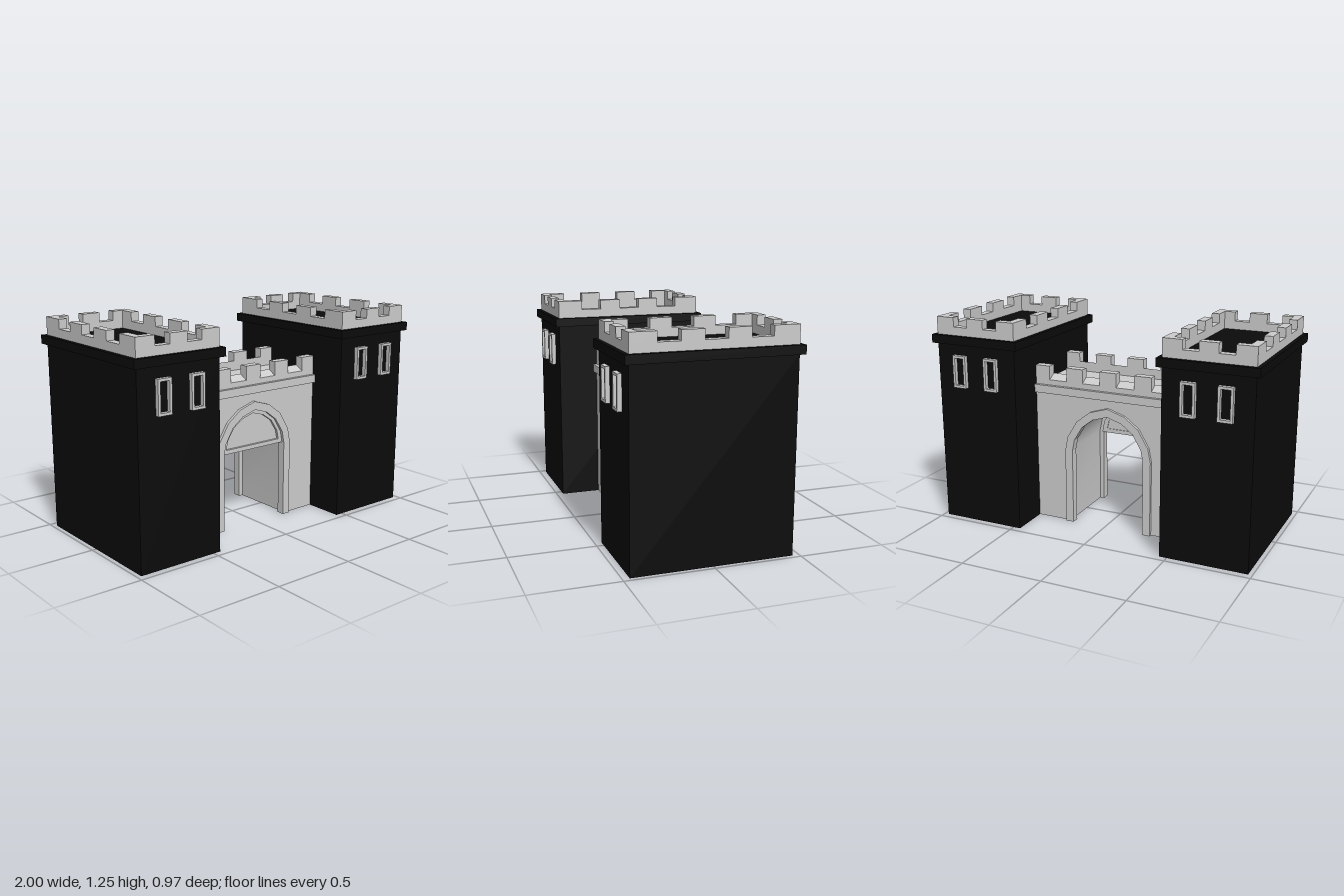
import * as THREE from 'three';
import { toCreasedNormals } from 'three/addons/utils/BufferGeometryUtils.js';

const stone = new THREE.MeshStandardMaterial({ color: 0xcccccc });
const dark = new THREE.MeshStandardMaterial({ color: 0x0b0b0b });

function add(parent, name, geometry, material = stone) {
  const mesh = new THREE.Mesh(geometry, material);
  mesh.name = name;
  parent.add(mesh);
  return mesh;
}

// Box given by its limits on each axis
function box(parent, name, [x0, x1], [y0, y1], [z0, z1], material) {
  const mesh = add(parent, name, new THREE.BoxGeometry(x1 - x0, y1 - y0, z1 - z0), material);
  mesh.position.set((x0 + x1) / 2, (y0 + y1) / 2, (z0 + z1) / 2);
  return mesh;
}

function extrude(shape, z0, z1) {
  return new THREE.ExtrudeGeometry(shape, { depth: z1 - z0, bevelEnabled: false }).translate(0, 0, z0);
}

const rect = (w, h) => [[-w, -h], [w, -h], [w, h], [-w, h]].map(([x, y]) => new THREE.Vector2(x, y));

function frameShape(w, h, t) {
  const shape = new THREE.Shape(rect(w, h));
  shape.holes.push(new THREE.Path(rect(w - t, h - t)));
  return shape;
}

// Pointed arch outline, right foot over the apex to the left foot
const ARCH = [[1, 0], [0.94, 0.29], [0.71, 0.655], [0.4, 0.88], [0, 1]];
function arch(w, h, spring, foot = spring) {
  const right = ARCH.map(([x, y]) => new THREE.Vector2(x * w, spring + y * h));
  const left = right.slice(0, -1).reverse().map((p) => new THREE.Vector2(-p.x, p.y));
  const points = [...right, ...left];
  if (foot < spring) {
    points.unshift(new THREE.Vector2(w, foot));
    points.push(new THREE.Vector2(-w, foot));
  }
  return points;
}

function makeTower() {
  const tower = new THREE.Group();
  const W = 0.26, D = 0.46, T = 0.05;
  box(tower, 'towerBody', [-W, W], [0, 1.1], [-D, D], dark);
  box(tower, 'towerCap', [-0.285, 0.285], [1.1, 1.15], [-0.485, 0.485], dark);

  // Parapet ring
  const ring = add(tower, 'towerParapet', extrude(frameShape(W, D, T), 0, 0.05).rotateX(-Math.PI / 2));
  ring.position.y = 1.15;

  // Merlons: corner pieces, one on each short side, two on each long side
  const y = [1.2, 1.255];
  for (const s of [-1, 1]) {
    const span = (a, b) => (s > 0 ? [a, b] : [-b, -a]);
    box(tower, 'endMerlon', [-0.054, 0.054], y, span(D - T, D));
    for (const t of [-1, 1]) {
      const zSpan = (a, b) => (t > 0 ? [a, b] : [-b, -a]);
      box(tower, 'cornerMerlon', span(0.145, W), y, zSpan(D - T, D));
      box(tower, 'cornerMerlon', span(W - T, W), y, zSpan(0.313, D - T));
      box(tower, 'sideMerlon', span(W - T, W), y, zSpan(0.063, 0.189));
    }
  }

  // Window frames on the front and back
  for (const x of [-0.105, 0.105]) {
    for (const z of [-D - 0.025, D]) {
      add(tower, 'windowFrame', extrude(frameShape(0.043, 0.097, 0.015), 0, 0.025)).position.set(x, 0.938, z);
    }
  }
  return tower;
}

function makeGate() {
  const gate = new THREE.Group();
  gate.name = 'gate';
  const L = 0.49, TOP = 0.85;

  // Wall with the passage cut through it
  const wall = new THREE.Shape([
    new THREE.Vector2(-L, 0), new THREE.Vector2(-L, TOP), new THREE.Vector2(L, TOP), new THREE.Vector2(L, 0),
    ...arch(0.257, 0.267, 0.46, 0),
  ]);
  add(gate, 'gateWall', toCreasedNormals(extrude(wall, -0.22, 0.22), 0.65));

  // Parts repeated on both faces
  const trim = new THREE.Shape([...arch(0.278, 0.29, 0.46, 0), ...arch(0.23, 0.24, 0.46, 0).reverse()]);
  const sill = new THREE.Shape([[0.167, 0.85], [0.22, 0.85], [0.22, 0.88], [0.167, 0.91]]
    .map(([z, y]) => new THREE.Vector2(z, y)));
  for (const turn of [0, Math.PI]) {
    const face = new THREE.Group();
    face.name = turn ? 'backFace' : 'frontFace';
    face.rotation.y = turn;
    gate.add(face);
    add(face, 'archTrim', extrude(trim, 0.19, 0.238));
    box(face, 'cornice', [-L, L], [0.8, 0.848], [0.21, 0.241]);
    add(face, 'slopedParapet', extrude(sill, -L, L).rotateY(-Math.PI / 2));
    for (let i = -2; i <= 2; i++) {
      const x = i * 0.219;
      box(face, 'gateMerlon', [x - 0.053, x + 0.053], [TOP, 0.963], [0.167, 0.22]);
    }
  }

  // Panel filling the head of the front arch, with a raised border
  const border = new THREE.Shape(arch(0.235, 0.245, 0.46));
  border.holes.push(new THREE.Path(arch(0.2, 0.192, 0.485)));
  add(gate, 'archPanelBorder', extrude(border, 0.18, 0.22));
  add(gate, 'archPanel', extrude(new THREE.Shape(arch(0.215, 0.22, 0.465)), 0.185, 0.205));

  gate.position.set(-0.022, 0, 0.002);
  return gate;
}

export function createModel() {
  const model = new THREE.Group();
  model.name = 'castleGatehouse';
  for (const side of [-1, 1]) {
    const tower = makeTower();
    tower.name = side > 0 ? 'leftTower' : 'rightTower';
    tower.position.x = side * 0.715;
    model.add(tower);
  }
  model.add(makeGate());
  return model;
}
